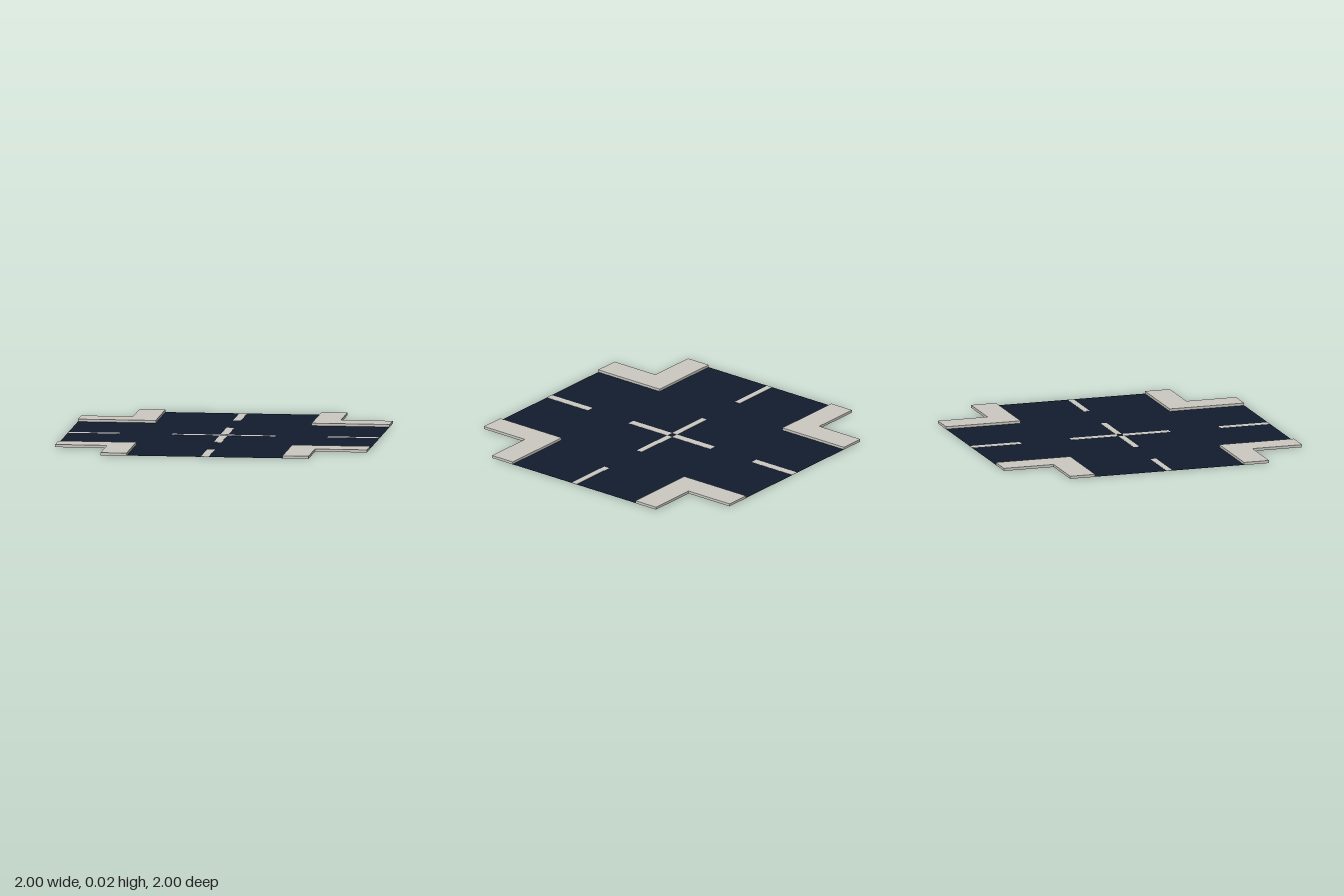
import * as THREE from 'three';

const HALF = 1, LANE = 0.5, CURB = 0.667, HEIGHT = 0.017;

const shapeFrom = (pts) => new THREE.Shape(pts.map(([x, y]) => new THREE.Vector2(x, y)));

// L-shaped raised slab: top and walls, open underneath
function pavementGeometry() {
  const outline = shapeFrom([[LANE, LANE], [HALF, LANE], [HALF, CURB], [CURB, CURB], [CURB, HALF], [LANE, HALF]]);
  const full = new THREE.ExtrudeGeometry(outline, { depth: HEIGHT, bevelEnabled: false });
  full.rotateX(-Math.PI / 2);
  const src = full.attributes.position;
  const kept = [];
  for (let i = 0; i < src.count; i += 3) {
    const isBottom = [0, 1, 2].every((k) => Math.abs(src.getY(i + k)) < 1e-6);
    if (isBottom) continue;
    for (let k = 0; k < 3; k++) kept.push(src.getX(i + k), src.getY(i + k), src.getZ(i + k));
  }
  const geo = new THREE.BufferGeometry();
  geo.setAttribute('position', new THREE.Float32BufferAttribute(kept, 3));
  geo.computeVertexNormals();
  return geo;
}

export function createModel() {
  const model = new THREE.Group();
  model.name = 'crossroads';
  const asphalt = new THREE.MeshStandardMaterial({ color: 0x111c2e, side: THREE.DoubleSide });
  const stone = new THREE.MeshStandardMaterial({ color: 0xccc9c2, side: THREE.DoubleSide });

  const add = (name, geo, mat) => {
    const mesh = new THREE.Mesh(geo, mat);
    mesh.name = name;
    model.add(mesh);
    return mesh;
  };

  // Cross-shaped road sheet
  const cross = shapeFrom([
    [-LANE, -HALF], [LANE, -HALF], [LANE, -LANE], [HALF, -LANE], [HALF, LANE], [LANE, LANE],
    [LANE, HALF], [-LANE, HALF], [-LANE, LANE], [-HALF, LANE], [-HALF, -LANE], [-LANE, -LANE],
  ]);
  const sheet = new THREE.ShapeGeometry(cross);
  sheet.rotateX(-Math.PI / 2);
  add('road', sheet, asphalt).position.y = 0.001;

  // Corner pavements
  const pavement = pavementGeometry();
  for (let i = 0; i < 4; i++) add('pavementCorner', pavement, stone).rotation.y = (i * Math.PI) / 2;

  // Lane dashes, seen from both faces of the road
  for (const s of [-1, 1]) {
    for (const [start, end] of [[0, 0.333], [0.667, 1]]) {
      const ax = Math.max(start, 0.025), az = Math.max(start, 0.02);
      const dashX = add('laneDash', new THREE.BoxGeometry(end - ax, 0.002, 0.04), stone);
      dashX.position.set((s * (ax + end)) / 2, 0.001, 0);
      const dashZ = add('laneDash', new THREE.BoxGeometry(0.05, 0.002, end - az), stone);
      dashZ.position.set(0, 0.001, (s * (az + end)) / 2);
    }
  }
  return model;
}
